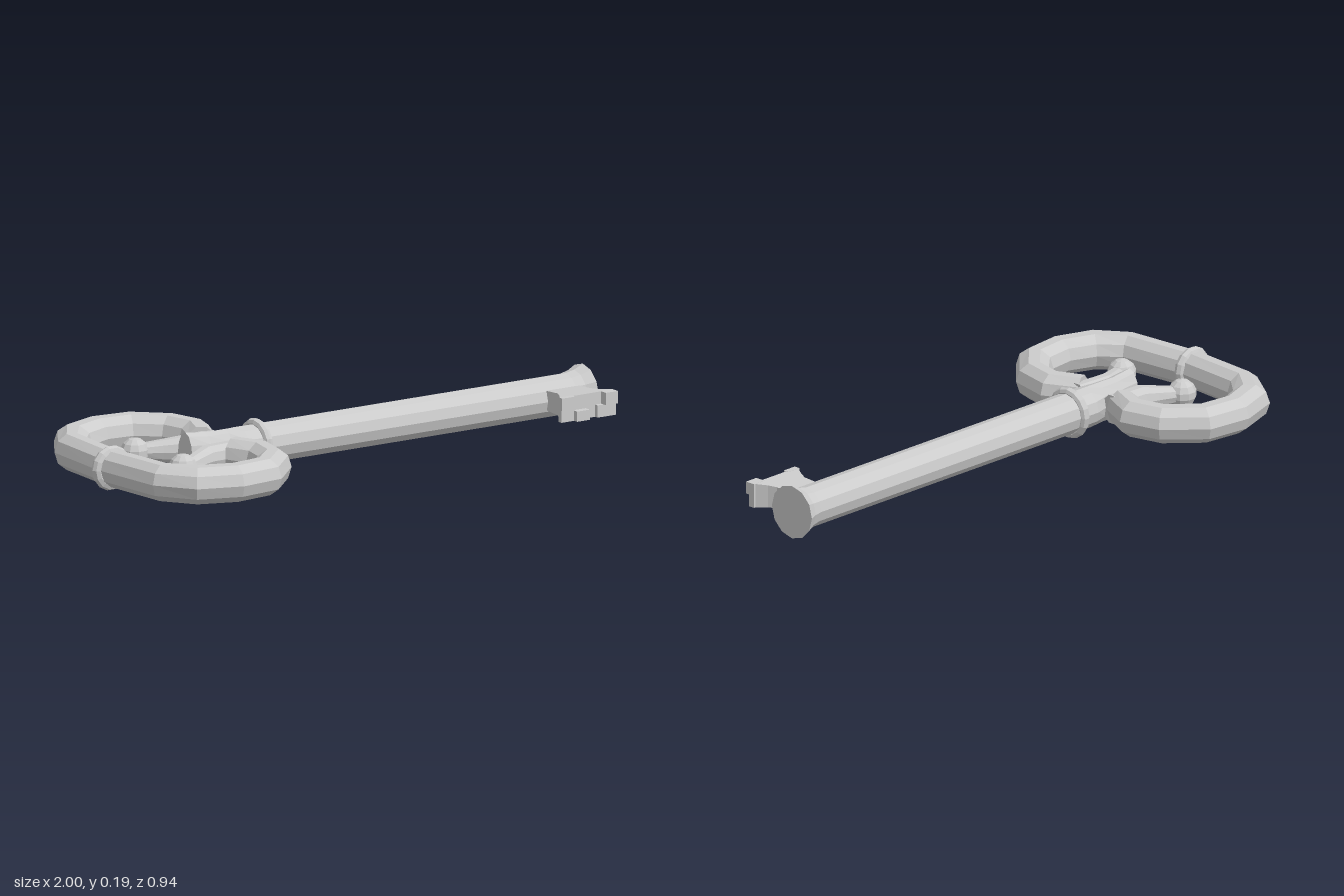
import * as THREE from 'three';

const Y = 0.093; // height of the key's centre plane
const mat = new THREE.MeshStandardMaterial({ color: 0xcccccc, flatShading: true, side: THREE.DoubleSide });

function add(group, geometry, name, x = 0, y = 0, z = 0) {
  const mesh = new THREE.Mesh(geometry, mat);
  mesh.name = name;
  mesh.position.set(x, y, z);
  group.add(mesh);
  return mesh;
}

// Loft elliptical rings along a flat path of [x, z, halfHeight, halfWidth] stations
function loft(stations, sides) {
  const pos = [], idx = [], n = stations.length;
  const dir = (a, b) => new THREE.Vector2(b[0] - a[0], b[1] - a[1]).normalize();
  stations.forEach((s, i) => {
    const before = dir(stations[Math.max(i - 1, 0)], stations[Math.max(i, 1)]);
    const after = dir(stations[Math.min(i, n - 2)], stations[Math.min(i + 1, n - 1)]);
    const t = before.clone().add(after).normalize();
    const miter = 1 / Math.max(t.dot(after), 0.8);
    const [x, z, h, w = h] = s;
    for (let j = 0; j < sides; j++) {
      const a = (j / sides) * Math.PI * 2;
      const c = Math.cos(a) * w * miter;
      pos.push(x - t.y * c, Y + Math.sin(a) * h, z + t.x * c);
    }
  });
  for (let i = 0; i < n - 1; i++) {
    for (let j = 0; j < sides; j++) {
      const k = (j + 1) % sides, a = i * sides, b = a + sides;
      idx.push(a + j, b + j, a + k, a + k, b + j, b + k);
    }
  }
  // End caps
  const last = (n - 1) * sides;
  for (let j = 1; j < sides - 1; j++) {
    idx.push(0, j, j + 1, last, last + j + 1, last + j);
  }
  const g = new THREE.BufferGeometry();
  g.setAttribute('position', new THREE.Float32BufferAttribute(pos, 3));
  g.setIndex(idx);
  const flat = g.toNonIndexed();
  flat.computeVertexNormals();
  return flat;
}

export function createModel() {
  const key = new THREE.Group();
  key.name = 'key';

  // Shaft: pinched between the scrolls, flared at the tip
  add(key, loft([
    [-0.62, 0, 0.08, 0.042], [-0.54, 0, 0.07, 0.046], [-0.46, 0, 0.07, 0.052], [-0.4, 0, 0.07],
    [0.93, 0, 0.07], [0.965, 0, 0.077], [1, 0, 0.093],
  ], 12), 'shaft');

  // Collar on the shaft and band on the bow
  const collar = add(key, new THREE.TorusGeometry(0.073, 0.016, 8, 16), 'shaftCollar', -0.33, Y, 0);
  collar.rotation.y = Math.PI / 2;
  add(key, new THREE.TorusGeometry(0.058, 0.019, 8, 14), 'bowBand', -0.92, Y, 0);

  // Bow: two mirrored scrolls, each ending in a ball
  const scroll = [
    [-0.918, 0, 0.064, 0.058], [-0.895, -0.265, 0.065, 0.058], [-0.822, -0.362, 0.066], [-0.70, -0.407, 0.066, 0.063],
    [-0.57, -0.392, 0.066, 0.063], [-0.472, -0.3, 0.066, 0.06], [-0.446, -0.19, 0.066, 0.06],
    [-0.49, -0.092, 0.066, 0.056],
  ];
  const horn = [[-0.45, -0.08, 0.052, 0.04], [-0.59, -0.08, 0.048, 0.04], [-0.64, -0.104, 0.04, 0.034], [-0.70, -0.132, 0.03]];
  for (const side of [1, -1]) {
    const mirror = (path) => path.map(([x, z, h, w]) => [x, z * side, h, w]);
    const half = new THREE.Group();
    half.name = side > 0 ? 'backScroll' : 'frontScroll';
    add(half, loft(mirror(scroll), 10), 'scrollTube');
    add(half, loft(mirror(horn), 10), 'scrollHorn');
    add(half, new THREE.SphereGeometry(0.05, 10, 7), 'scrollBall', -0.727, Y, -0.14 * side);
    key.add(half);
  }

  // Bit: waisted plate that thickens outward
  const bit = new THREE.Group();
  bit.name = 'bit';
  const outline = [
    [0.81, 0.04], [0.81, 0.125], [0.795, 0.155], [0.768, 0.2], [0.985, 0.2], [0.955, 0.155], [0.943, 0.125], [0.943, 0.04],
  ].map(([x, z]) => new THREE.Vector2(x, z));
  const plate = new THREE.ExtrudeGeometry(new THREE.Shape(outline), { depth: 1, bevelEnabled: false });
  plate.rotateX(Math.PI / 2); // shape y becomes z, depth becomes -y
  const p = plate.attributes.position;
  for (let i = 0; i < p.count; i++) {
    const h = THREE.MathUtils.mapLinear(p.getZ(i), 0.04, 0.2, 0.064, 0.084);
    p.setY(i, (p.getY(i) + 0.5) * h);
  }
  plate.computeVertexNormals();
  add(bit, plate, 'bitPlate', 0, 0.097, 0);

  // Teeth along the bit's outer edge: x0, x1, y0, y1, outer z
  const teeth = [
    [0.768, 0.82, 0.097, 0.139, 0.212], [0.768, 0.82, 0.055, 0.097, 0.207],
    [0.82, 0.872, 0.055, 0.09, 0.225],
    [0.935, 0.985, 0.097, 0.139, 0.228], [0.91, 0.985, 0.055, 0.097, 0.215],
  ];
  for (const [x0, x1, y0, y1, z] of teeth) {
    add(bit, new THREE.BoxGeometry(x1 - x0, y1 - y0, z - 0.19), 'bitTooth', (x0 + x1) / 2, (y0 + y1) / 2, (z + 0.19) / 2);
  }
  key.add(bit);
  return key;
}
